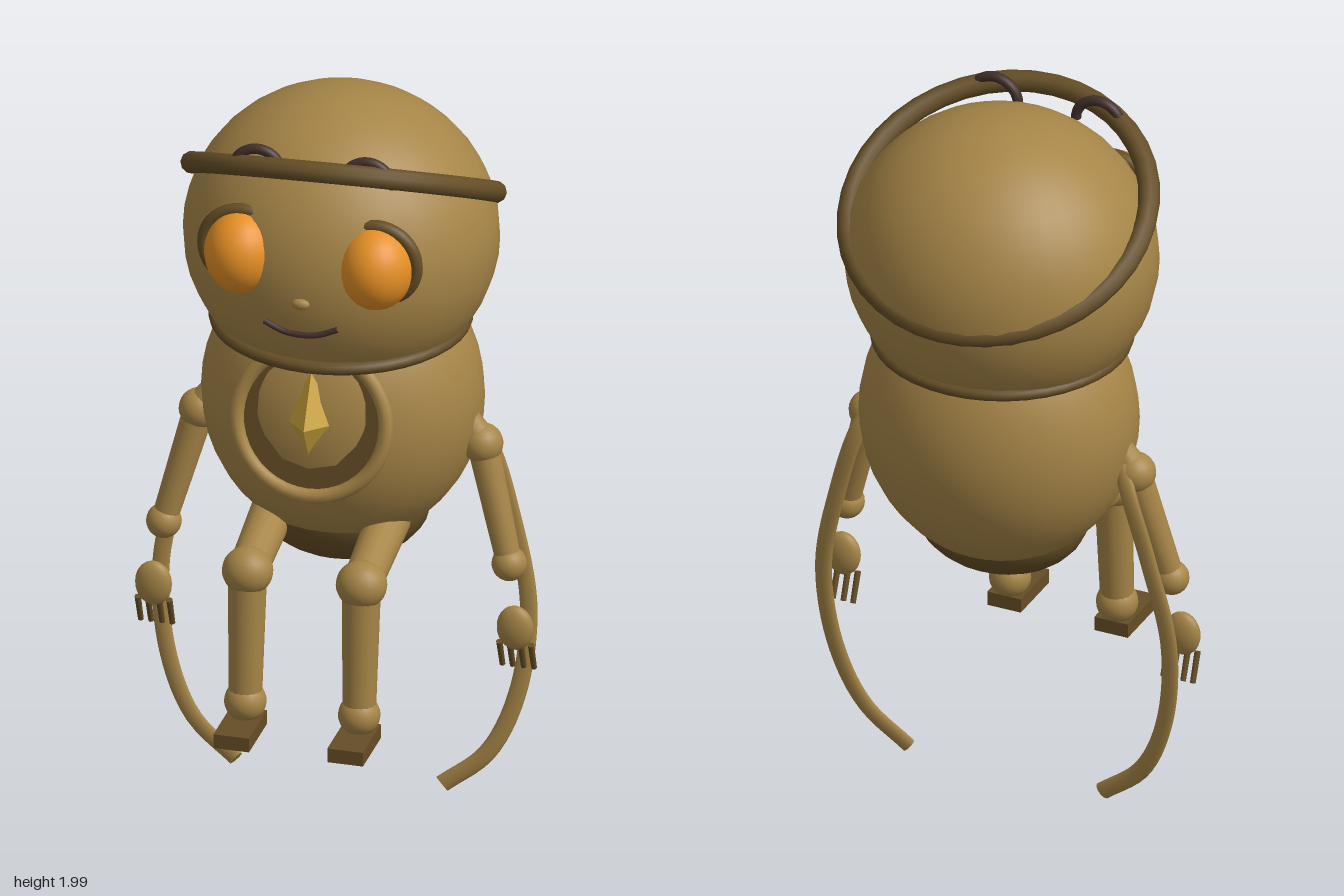
import * as THREE from 'three';

const mat = (name, color) => {
  const m = new THREE.MeshStandardMaterial({ color });
  m.name = name;
  return m;
};
const V = (x, y, z) => new THREE.Vector3(x, y, z);

export function createModel() {
  const root = new THREE.Group();
  root.name = 'figure';

  const tan = mat('tan', 0xa68547);
  const brown = mat('darkBrown', 0x654e26);
  const umber = mat('umber', 0x43302b);
  const orange = mat('orange', 0xe69025);
  const gold = mat('gold', 0xcda53c);
  gold.flatShading = true;
  const disc = mat('discBrown', 0x604a24);
  disc.side = THREE.DoubleSide;

  const add = (parent, name, geo, material, pos = V(0, 0, 0)) => {
    const m = new THREE.Mesh(geo, material);
    m.name = name;
    m.position.copy(pos);
    parent.add(m);
    return m;
  };
  const ball = (parent, name, pos, rx, ry, rz, material, seg = 20) =>
    add(parent, name, new THREE.SphereGeometry(1, seg, Math.round(seg * 0.7)).scale(rx, ry, rz), material, pos);
  // tapered cylinder running from a to b
  const limb = (parent, name, a, b, ra, rb, material, seg = 16) => {
    const d = b.clone().sub(a);
    const m = add(parent, name, new THREE.CylinderGeometry(rb, ra, d.length(), seg), material,
      a.clone().add(b).multiplyScalar(0.5));
    m.quaternion.setFromUnitVectors(V(0, 1, 0), d.normalize());
    return m;
  };
  const hoop = (parent, name, pos, r, tube, material, arc = Math.PI * 2) =>
    add(parent, name, new THREE.TorusGeometry(r, tube, 10, 40, arc), material, pos);

  // head and body
  ball(root, 'head', V(0, 1.6, -0.06), 0.418, 0.4, 0.4, tan, 32);
  ball(root, 'body', V(0, 1.13, -0.075), 0.375, 0.41, 0.34, tan, 32);
  ball(root, 'seatPatch', V(0, 0.83, -0.06), 0.24, 0.165, 0.2, brown, 24);

  // tilted head band and collar
  const band = hoop(root, 'headBand', V(0, 1.745, -0.08), 0.402, 0.029, brown);
  band.geometry.rotateX(Math.PI / 2);
  band.rotation.set(-0.486, 0, 0.03);
  const collar = hoop(root, 'collar', V(0, 1.36, -0.055), 0.33, 0.018, brown);
  collar.rotation.x = Math.PI / 2;

  // nose and mouth
  ball(root, 'nose', V(0, 1.573, 0.338), 0.025, 0.016, 0.015, tan, 12);
  const smile = new THREE.CatmullRomCurve3([
    V(-0.1, 1.51, 0.335), V(-0.04, 1.488, 0.34), V(0.04, 1.488, 0.34), V(0.1, 1.51, 0.335)]);
  add(root, 'mouth', new THREE.TubeGeometry(smile, 16, 0.008, 6), umber);

  // chest medallion: rim, plate and gem
  const medal = new THREE.Group();
  medal.name = 'medallion';
  medal.position.set(0, 1.18, 0.235);
  medal.rotation.x = -0.18;
  root.add(medal);
  hoop(medal, 'medallionRim', V(0, 0, 0), 0.203, 0.02, tan);
  add(medal, 'medallionPlate', new THREE.CircleGeometry(0.203, 36), disc);
  add(root, 'gem', new THREE.OctahedronGeometry(1).scale(0.078, 0.138, 0.075), gold, V(0, 1.185, 0.235));

  // paired parts
  for (const s of [1, -1]) {
    const side = s > 0 ? 'left' : 'right';
    const P = (x, y, z) => V(s * x, y, z);
    const g = new THREE.Group();
    g.name = side + 'Parts';
    root.add(g);

    // eye, socket ring and brow
    ball(g, side + 'Eye', P(0.183, 1.665, 0.25), 0.1, 0.115, 0.112, orange, 24);
    hoop(g, side + 'EyeRing', P(0.183, 1.675, 0.247), 0.106, 0.018, brown);
    hoop(g, side + 'Brow', P(0.15, 1.885, 0.22), 0.066, 0.014, umber, Math.PI);

    // arm
    const shoulder = P(0.385, 1.03, -0.055), elbow = P(0.47, 0.71, -0.012);
    ball(g, side + 'Shoulder', shoulder, 0.055, 0.055, 0.055, tan);
    limb(g, side + 'UpperArm', shoulder, elbow, 0.042, 0.034, tan);
    ball(g, side + 'Elbow', elbow, 0.047, 0.047, 0.047, tan);
    ball(g, side + 'Hand', P(0.492, 0.535, 0.01), 0.05, 0.063, 0.028, tan);
    for (const dx of [-0.043, -0.015, 0.015, 0.043])
      limb(g, side + 'Finger', P(0.492 + dx, 0.49, 0.01), P(0.492 + dx, 0.41, -0.02), 0.009, 0.008, brown, 8);

    // flattened cord hanging from the shoulder
    const flat = 0.42;
    const path = new THREE.CatmullRomCurve3([
      [0.34, 1.09, -0.06], [0.39, 1.0, -0.112], [0.45, 0.8, -0.112], [0.5, 0.55, -0.093],
      [0.475, 0.3, -0.068], [0.4, 0.13, -0.048], [0.28, 0.028, -0.035],
    ].map(([x, y, z]) => P(x, y, z / flat)));
    add(g, side + 'Cord', new THREE.TubeGeometry(path, 40, 0.024, 10).scale(1, 1, flat), tan);
    const ends = path.getPoint(1), dir = path.getTangent(1);
    const cap = new THREE.CircleGeometry(0.024, 10);
    cap.applyQuaternion(new THREE.Quaternion().setFromUnitVectors(V(0, 0, 1), dir));
    cap.translate(ends.x, ends.y, ends.z).scale(1, 1, flat);
    add(g, side + 'CordEnd', cap, tan);
    limb(g, side + 'ShoulderRoot', P(0.345, 1.1, -0.058), shoulder, 0.03, 0.045, tan);

    // leg
    const hip = P(0.155, 0.835, -0.03), knee = P(0.155, 0.755, 0.3), ankle = P(0.155, 0.385, 0.322);
    limb(g, side + 'Thigh', hip, knee, 0.06, 0.052, tan);
    ball(g, side + 'Knee', knee, 0.068, 0.065, 0.065, tan);
    limb(g, side + 'Shin', knee, ankle, 0.052, 0.044, tan);
    ball(g, side + 'Ankle', ankle, 0.056, 0.056, 0.056, tan);
    add(g, side + 'Foot', new THREE.BoxGeometry(0.097, 0.04, 0.175), brown, P(0.155, 0.325, 0.372));
  }
  return root;
}
